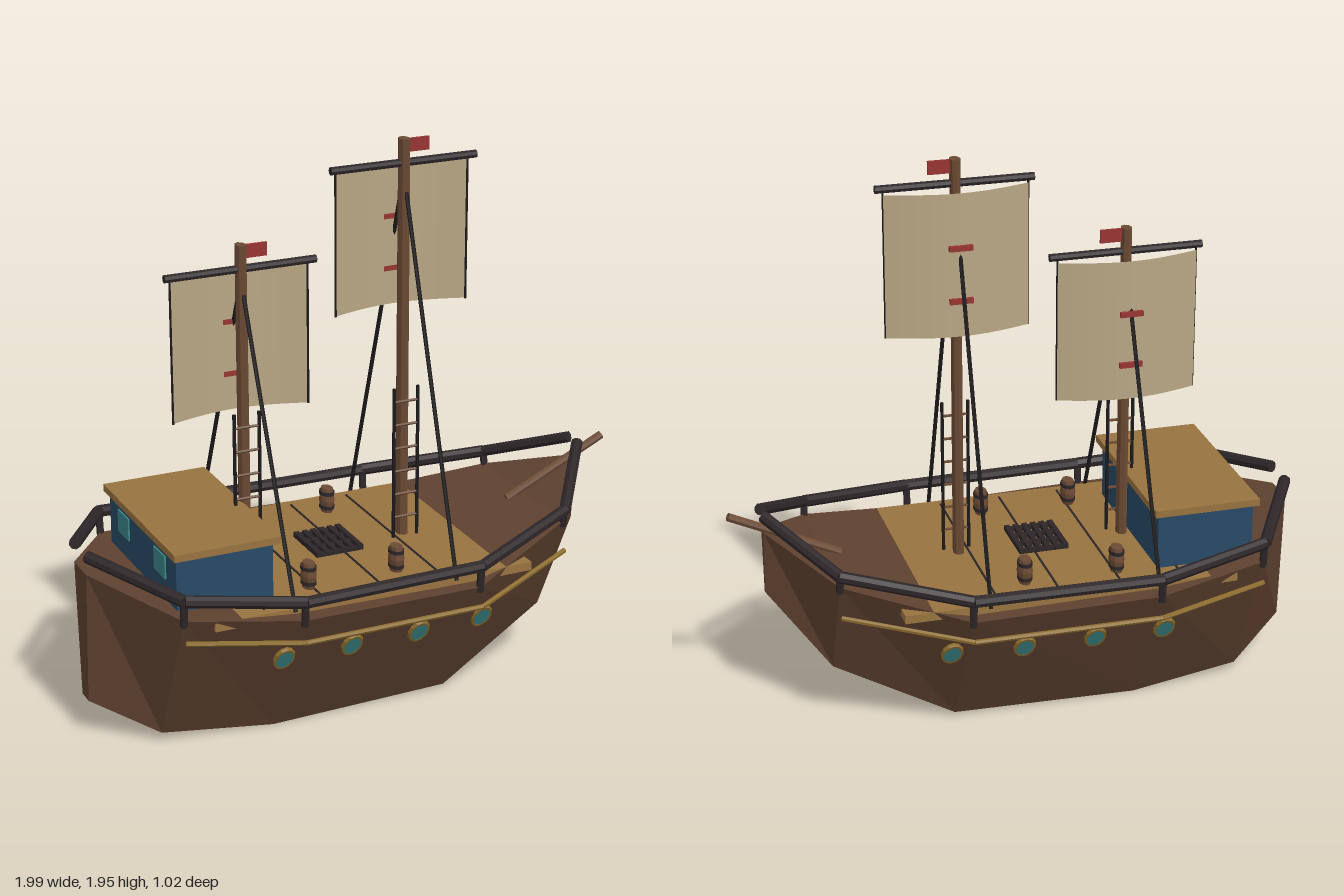
import * as THREE from 'three';

const mat = (name, color, extra = {}) => {
  const m = new THREE.MeshStandardMaterial({ color, flatShading: true, ...extra });
  m.name = name;
  return m;
};

export function createModel() {
  const ship = new THREE.Group();
  ship.name = 'sailingShip';

  const hullBrown = mat('hullBrown', 0x5f4230);
  const spar = mat('sparBrown', 0x6b4a34);
  const deckTan = mat('deckTan', 0x98733f);
  const dark = mat('darkTrim', 0x2d2628);
  const rope = mat('rope', 0x1c1a1a);
  const canvas = mat('canvas', 0xb8a684, { side: THREE.DoubleSide });
  const blue = mat('cabinBlue', 0x284a66);
  const gold = mat('gold', 0x8c6c2c);
  const glass = mat('glassTeal', 0x3a8587);
  const red = mat('red', 0x963433);

  const add = (name, geo, material, x = 0, y = 0, z = 0, parent = ship) => {
    const m = new THREE.Mesh(geo, material);
    m.name = name;
    m.position.set(x, y, z);
    parent.add(m);
    return m;
  };
  const box = (name, w, h, d, material, x, y, z, parent) =>
    add(name, new THREE.BoxGeometry(w, h, d), material, x, y, z, parent);
  // Round bar between two points
  const bar = (name, a, b, r, material, sides = 6, parent = ship) => {
    const p = new THREE.Vector3(...a), q = new THREE.Vector3(...b);
    const dir = q.clone().sub(p);
    const m = add(name, new THREE.CylinderGeometry(r, r, dir.length(), sides), material, 0, 0, 0, parent);
    m.position.copy(p).add(q).multiplyScalar(0.5);
    m.quaternion.setFromUnitVectors(new THREE.Vector3(0, 1, 0), dir.normalize());
    return m;
  };

  // Hull sections: x, bottom y, top y, bottom half width, top half width
  const sections = [
    [-0.99, 0.14, 0.615, 0.03, 0.06],
    [-0.78, 0.035, 0.55, 0.16, 0.40],
    [-0.39, 0, 0.51, 0.2, 0.48],
    [0.26, 0.015, 0.50, 0.2, 0.47],
    [0.67, 0.22, 0.60, 0.13, 0.295],
    [0.87, 0.47, 0.70, 0.005, 0.02],
  ];
  const verts = [], index = [];
  for (const [x, yb, yt, hb, ht] of sections)
    verts.push(x, yt, ht, x, yb, hb, x, yb, -hb, x, yt, -ht);
  for (let i = 0; i < sections.length - 1; i++)
    for (let k = 0; k < 4; k++) {
      const a0 = i * 4 + k, a1 = i * 4 + (k + 1) % 4;
      index.push(a0, a1, a1 + 4, a0, a1 + 4, a0 + 4);
    }
  const e = (sections.length - 1) * 4;
  index.push(0, 3, 2, 0, 2, 1, e, e + 1, e + 2, e, e + 2, e + 3);
  const hullGeo = new THREE.BufferGeometry();
  hullGeo.setAttribute('position', new THREE.Float32BufferAttribute(verts, 3));
  hullGeo.setIndex(index);
  hullGeo.computeVertexNormals();
  add('hull', hullGeo, hullBrown);

  // Deck with plank seams
  box('deck', 1.16, 0.03, 0.835, deckTan, -0.1, 0.515, 0);
  for (const x of [-0.495, -0.28, -0.063, 0.155])
    box('deckSeam', 0.007, 0.004, 0.77, dark, x, 0.531, 0);

  // Railing, posts and gold trim on both sides
  const railPts = [[-0.985, 0.68, 0.06], [-0.78, 0.625, 0.41], [-0.39, 0.58, 0.49],
    [0.26, 0.58, 0.475], [0.67, 0.645, 0.305], [0.87, 0.765, 0.03]];
  const trimPts = [[-0.78, 0.475, 0.41], [-0.39, 0.435, 0.49], [0.26, 0.435, 0.485], [0.67, 0.495, 0.31]];
  for (const s of [1, -1]) {
    const side = ([x, y, z]) => [x, y, z * s];
    for (let i = 0; i < 5; i++) bar('rail', side(railPts[i]), side(railPts[i + 1]), 0.021, dark, 8);
    for (let i = 1; i < 5; i++) {
      const [x, y, z] = railPts[i];
      bar('railPost', [x, sections[i][2] - 0.02, (z - 0.015) * s], [x, y, (z - 0.005) * s], 0.013, dark);
    }
    for (let i = 0; i < 3; i++) bar('goldTrim', side(trimPts[i]), side(trimPts[i + 1]), 0.009, gold);

    // Portholes leaning with the hull side
    for (const x of [-0.43, -0.183, 0.065, 0.312]) {
      const port = new THREE.Group();
      port.name = 'porthole';
      const hw = x > 0.26 ? 0.372 : 0.39;
      port.position.set(x, 0.345, (hw + 0.003) * s);
      port.rotation.set(s * 0.5, s > 0 ? 0 : Math.PI, 0, 'XYZ');
      port.scale.x = 0.72;
      add('portholeRing', new THREE.TorusGeometry(0.046, 0.009, 6, 12), gold, 0, 0, 0, port);
      const pane = add('portholeGlass', new THREE.CylinderGeometry(0.045, 0.045, 0.009, 12), glass, 0, 0, 0.003, port);
      pane.rotation.x = Math.PI / 2;
      ship.add(port);
    }
  }

  // Cabin with roof and stern windows
  box('cabin', 0.34, 0.23, 0.62, blue, -0.6, 0.62, 0);
  box('cabinRoof', 0.372, 0.025, 0.67, deckTan, -0.598, 0.743, 0);
  for (const z of [-0.17, 0.17]) box('cabinWindow', 0.008, 0.08, 0.1, glass, -0.772, 0.665, z);

  // Bowsprit
  bar('bowsprit', [0.605, 0.585, 0], [0.985, 0.765, 0], 0.015, spar, 8);

  // Deck hatch grating
  for (let i = 0; i < 6; i++) box('hatchBar', 0.018, 0.018, 0.2, dark, -0.168 + i * 0.0314, 0.549, 0);
  for (const z of [-0.09, -0.03, 0.03, 0.09]) box('hatchCrossBar', 0.175, 0.014, 0.016, dark, -0.09, 0.546, z);

  // Barrels
  const barrelGeo = new THREE.LatheGeometry([[0, 0], [0.028, 0], [0.037, 0.045], [0.028, 0.09], [0, 0.09]]
    .map(([r, y]) => new THREE.Vector2(r, y)), 10);
  for (const x of [-0.29, 0.034]) for (const z of [-0.285, 0.28]) {
    add('barrel', barrelGeo, spar, x, 0.53, z).scale.x = 0.72;
    for (const y of [0.55, 0.602]) {
      const hoop = add('barrelHoop', new THREE.CylinderGeometry(0.036, 0.036, 0.012, 10), dark, x, y, z);
      hoop.scale.x = 0.72;
    }
  }

  // Masts with yard, sail, flag, stays and ladder
  const buildMast = (x, top) => {
    const g = new THREE.Group();
    g.name = 'mast';
    g.position.x = x;
    ship.add(g);
    add('mastPole', new THREE.CylinderGeometry(0.026, 0.028, top - 0.5, 8), spar, 0, (top + 0.5) / 2, 0, g).scale.x = 0.72;
    const yard = top - 0.083;
    bar('yard', [-0.268, yard, 0], [0.268, yard, 0], 0.014, dark, 8, g);

    // Sail bellied toward -z, with battens behind it
    const sailGeo = new THREE.PlaneGeometry(0.488, 0.495, 10, 1);
    const p = sailGeo.attributes.position;
    for (let i = 0; i < p.count; i++) p.setZ(i, -0.018 - 0.05 * Math.cos(p.getX(i) / 0.244 * Math.PI / 2));
    sailGeo.computeVertexNormals();
    add('sail', sailGeo, canvas, 0, yard - 0.262, 0, g);
    for (const s of [-1, 1])
      bar('sailEdgeRope', [s * 0.244, yard - 0.51, -0.014], [s * 0.244, yard, -0.014], 0.004, rope, 5, g);
    for (const d of [0.2, 0.383]) box('sailBatten', 0.08, 0.018, 0.014, red, 0, yard - d, -0.073, g);

    box('flag', 0.08, 0.046, 0.008, red, 0.052, top - 0.025, 0, g);
    for (const s of [-1, 1])
      bar('stay', [0, top - 0.12, 0], [0, 0.52, s * 0.425], 0.007, rope, 6, g);

    for (const s of [-1, 1])
      bar('ladderRail', [s * 0.045, 0.52, 0.03], [s * 0.045, 1.08, 0.03], 0.006, rope, 6, g);
    for (let i = 0; i < 6; i++)
      bar('ladderRung', [-0.045, 0.605 + i * 0.085, 0.03], [0.045, 0.605 + i * 0.085, 0.03], 0.005, spar, 5, g);
  };
  buildMast(0.19, 1.945);
  buildMast(-0.4, 1.655);

  return ship;
}
